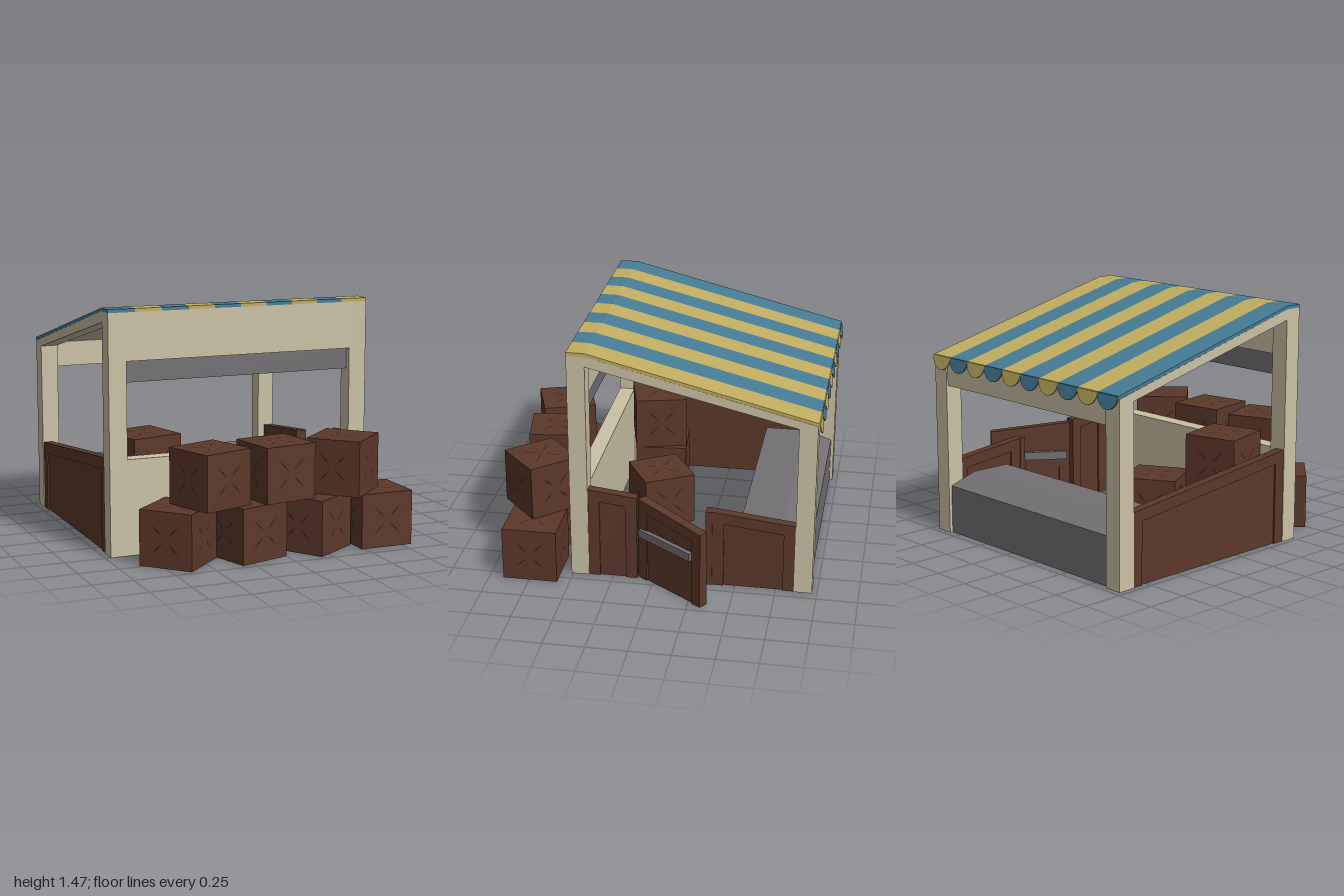
import * as THREE from 'three';

const mat = (name, color, side = THREE.FrontSide) => {
  const m = new THREE.MeshStandardMaterial({ color, side });
  m.name = name;
  return m;
};

export function createModel() {
  const beige = mat('beige paint', 0xcbc2a5);
  const brown = mat('brown wood', 0x5c382b);
  const dark = mat('dark wood', 0x38221a);
  const grey = mat('grey metal', 0x737073);
  const blue = mat('blue cloth', 0x467c96, THREE.DoubleSide);
  const yellow = mat('yellow cloth', 0xc2ae60, THREE.DoubleSide);

  const model = new THREE.Group();
  model.name = 'marketStall';
  const add = (name, geo, material, parent = model) => {
    const mesh = new THREE.Mesh(geo, material);
    mesh.name = name;
    parent.add(mesh);
    return mesh;
  };
  // Box given by its two extreme corners
  const box = (name, m, [x0, y0, z0], [x1, y1, z1], parent) => {
    const g = new THREE.BoxGeometry(x1 - x0, y1 - y0, z1 - z0);
    g.translate((x0 + x1) / 2, (y0 + y1) / 2, (z0 + z1) / 2);
    return add(name, g, m, parent);
  };
  // Side profile of [-z, y] points, extruded along x from x0 to x1
  const profile = (name, m, pts, x0, x1, parent) => {
    const shape = new THREE.Shape(pts.map(([u, y]) => new THREE.Vector2(u, y)));
    const g = new THREE.ExtrudeGeometry(shape, { depth: x1 - x0, bevelEnabled: false });
    g.rotateY(Math.PI / 2).translate(x0, 0, 0);
    return add(name, g, m, parent);
  };

  const L = -0.97, R = 0.69, POST = 0.11;
  const inL = L + POST, inR = R - POST;

  // Side frames: front post, back post and sloping rail in one piece
  const frame = [[-0.51, 0], [-0.4, 0], [-0.4, 1.38], [0.86, 1.08], [0.86, 0],
    [0.97, 0], [0.97, 1.105], [-0.4, 1.445], [-0.51, 1.445]];
  profile('rightSideFrame', beige, frame, L, inL);
  profile('leftSideFrame', beige, frame, inR, R);

  // Front and back boards between the posts
  box('frontLowWall', beige, [inL, 0, 0.41], [inR, 0.58, 0.508]);
  box('frontBeam', beige, [inL, 1.16, 0.41], [inR, 1.445, 0.51]);
  box('frontShutter', grey, [inL, 1.03, 0.43], [inR, 1.16, 0.47]);
  box('backBeam', beige, [inL, 0.94, -0.96], [inR, 1.1, -0.87]);
  profile('ceiling', beige,
    [[-0.41, 1.42], [0.96, 1.08], [0.96, 1.107], [-0.4, 1.445]], inL, inR);

  // Striped awning with a scalloped back edge
  const cloth = [[-0.51, 1.445], [-0.4, 1.445], [0.975, 1.105], [0.975, 1.125],
    [-0.4, 1.465], [-0.51, 1.465]];
  const w = (R - L) / 10;
  for (let i = 0; i < 10; i++) {
    const m = i % 2 ? yellow : blue;
    const x = L + i * w;
    profile('awningStripe', m, cloth, x, x + w);
    const half = new THREE.Shape();
    half.absarc(0, 0, w / 2, Math.PI, 2 * Math.PI);
    const g = new THREE.ExtrudeGeometry(half, { depth: 0.008, bevelEnabled: false, curveSegments: 8 });
    const flap = add('awningScallop', g, m);
    flap.position.set(x + w / 2, 1.122, -0.98);
    flap.rotation.x = 0.17;
  }

  // Grey counter with sloping back edge, and its legs
  profile('counter', grey, [[0.92, 0], [0.95, 0], [0.95, 0.3], [0.77, 0.36],
    [0.51, 0.36], [0.51, 0.27], [0.92, 0.27]], inL, inR);
  for (const x of [-0.78, 0.5]) box('counterLeg', grey, [x - 0.025, 0, -0.65], [x + 0.025, 0.28, -0.6]);

  // Sloped wooden panel: thin core with a raised border on both sides
  const woodPanel = (name, u0, u1, h0, h1, x0, x1, parent = model) => {
    const group = new THREE.Group();
    group.name = name;
    parent.add(group);
    const b = 0.07;
    const h = (u) => h0 + (h1 - h0) * (u - u0) / (u1 - u0);
    profile(name + 'Core', brown, [[u0, 0], [u1, 0], [u1, h1], [u0, h0]], x0 + 0.01, x1 - 0.01, group);
    profile(name + 'Border', brown, [[u0, 0], [u0 + b, 0], [u0 + b, h(u0 + b) - b],
      [u1 - b, h(u1 - b) - b], [u1 - b, 0], [u1, 0], [u1, h1], [u0, h0]], x0, x1, group);
    return group;
  };
  const top = (u) => 0.536 - 0.111 * u;
  woodPanel('rightWall', -0.4, 0.86, top(-0.4), top(0.86), L + 0.005, L + 0.065);
  woodPanel('leftWallFront', -0.4, -0.1, top(-0.4), top(-0.1), R - 0.065, R - 0.005);
  woodPanel('leftWallBack', 0.36, 0.86, top(0.36), top(0.86), R - 0.065, R - 0.005);
  box('doorJamb', brown, [R - 0.07, 0, -0.36], [R, 0.495, -0.32]);

  // Open door with a bar handle on each face
  const door = woodPanel('door', 0, 0.52, 0.535, 0.485, -0.06, 0);
  box('doorHandle', grey, [-0.08, 0.29, -0.45], [0.018, 0.342, -0.02], door);
  door.position.set(0.665, 0, 0.095);
  door.rotation.y = -0.62;

  // Crates with crossed tapering grooves on every face
  const S = 0.335;
  const sliver = new THREE.Shape([[-0.13, 0], [-0.07, -0.006], [-0.02, 0], [-0.07, 0.006]]
    .map(([x, y]) => new THREE.Vector2(x, y)));
  const sliverGeo = new THREE.ShapeGeometry(sliver);
  const boxGeo = new THREE.BoxGeometry(S, S, S);
  const faces = [[0, 0], [0, 1], [0, 2], [0, 3], [1, 0], [-1, 0]];
  const crate = (x, level, z, degrees) => {
    const group = new THREE.Group();
    group.name = 'crate';
    add('crateBody', boxGeo, brown, group);
    for (const [rx, ry] of faces) {
      const face = new THREE.Group();
      face.name = 'crateCross';
      face.rotation.set(rx * Math.PI / 2, ry * Math.PI / 2, 0);
      group.add(face);
      for (let k = 0; k < 4; k++) {
        const s = add('crateGroove', sliverGeo, dark, face);
        s.position.z = S / 2 + 0.001;
        s.rotation.z = Math.PI / 4 + k * Math.PI / 2;
      }
    }
    group.position.set(x, S / 2 + level * (S + 0.002), z);
    group.rotation.y = degrees * Math.PI / 180;
    model.add(group);
  };
  // Front pile
  crate(-0.635, 0, 0.74, 43);
  crate(-0.21, 0, 0.76, 17);
  crate(0.23, 0, 0.74, 33);
  crate(0.645, 0, 0.743, 0);
  crate(-0.45, 1, 0.78, 19);
  crate(-0.018, 1, 0.745, 9);
  crate(0.425, 1, 0.743, 43);
  // Pile inside the stall
  crate(-0.64, 0, 0.17, 5);
  crate(-0.17, 0, 0.1, 30);
  crate(-0.655, 1, 0.195, 14);

  return model;
}
